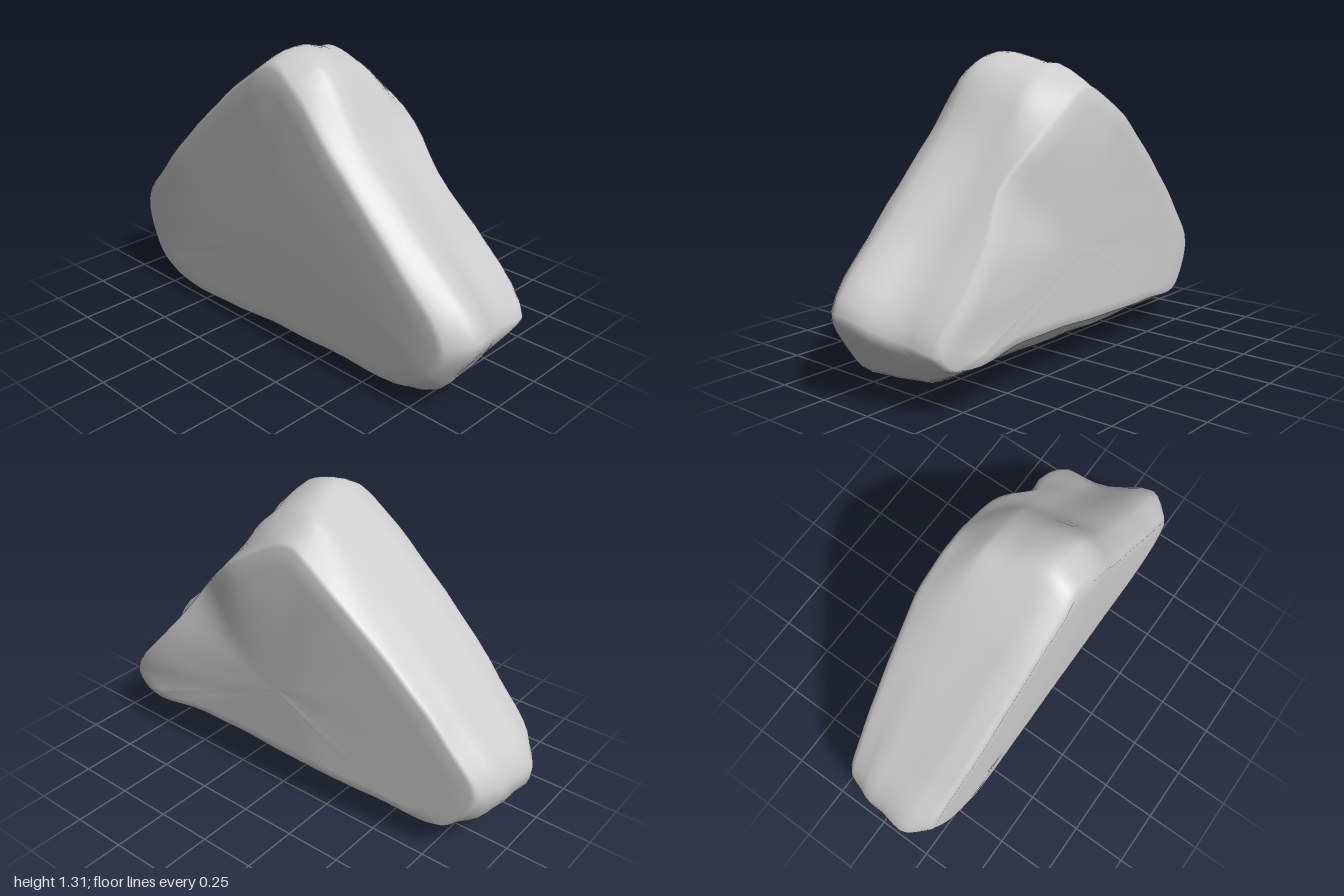
import * as THREE from 'three';

// Cross-sections as [z, y], from the back tip under the base to the front and over the peak
const outerRight = [[-.93, .37], [-.88, .21], [-.78, .11], [-.5, .055], [0, .08], [.45, .09], [.74, .1], [.86, .19],
  [.93, .34], [.68, .65], [.37, .97], [.16, 1.2], [.03, 1.26], [-.1, 1.19], [-.38, .97], [-.76, .6]];
const innerRight = [[-1, .34], [-.95, .19], [-.8, .06], [-.5, 0], [0, .04], [.45, .065], [.8, .07], [.92, .19],
  [1, .36], [.71, .68], [.4, 1], [.22, 1.25], [.05, 1.312], [-.07, 1.25], [-.37, 1], [-.77, .61]];
const innerLeft = [[-.98, .34], [-.94, .2], [-.8, .1], [-.5, .07], [0, .075], [.45, .08], [.77, .085], [.88, .17],
  [.92, .28], [.67, .6], [.39, .94], [.18, 1.2], [.02, 1.26], [-.08, 1.24], [-.37, 1], [-.77, .61]];
const outerLeft = [[-.93, .35], [-.89, .22], [-.79, .14], [-.5, .15], [0, .18], [.45, .2], [.77, .18], [.87, .2],
  [.91, .26], [.65, .58], [.38, .92], [.08, 1.13], [-.04, 1.17], [-.13, 1.14], [-.39, .95], [-.77, .58]];
const sections = [outerRight, innerRight, innerLeft, outerLeft];
const stations = [-.95, -.55, .38, .93];

// Piecewise-linear lookup in [input, output] pairs
function lookup(table, v) {
  if (v <= table[0][0]) return table[0][1];
  for (let i = 1; i < table.length; i++) {
    const [a, p] = table[i - 1], [b, q] = table[i];
    if (v <= b) return p + (q - p) * (v - a) / (b - a);
  }
  return table[table.length - 1][1];
}

// Half thickness of each side along the length and the height
const leftByZ = [[-1, .18], [-.9, .2], [-.6, .23], [-.2, .27], [.2, .28], [.45, .29], [.7, .315], [.95, .28]];
const leftByY = [[.1, .28], [.18, .31], [.28, .32], [.45, .3], [.65, .28], [.9, .285], [1.15, .25], [1.3, .2]];
const rightByZ = [[-1, .25], [-.6, .29], [.1, .315], [.6, .3], [1, .285]];
const rightByY = [[.08, .285], [.45, .3], [.9, .316], [1.2, .31], [1.3, .285]];
function sideX(u, z, y) {
  const [byZ, byY] = u > 0 ? [leftByZ, leftByY] : [rightByZ, rightByY];
  // Worn hollow along the upper front left edge
  const hollow = u > 0 ? .065 * Math.exp(-((z - .48) ** 2 + (y - .82) ** 2) / .035) : 0;
  return u * (Math.min(lookup(byZ, z), lookup(byY, y)) - hollow);
}

function rockGeometry() {
  const around = 80, rings = [];
  const curves = sections.map(s => new THREE.CatmullRomCurve3(
    s.map(([z, y]) => new THREE.Vector3(0, y, z)), true));
  const centre = new THREE.Vector3(0, .5, 0);

  // One ring at u across the thickness, shrunk towards the centre for the side faces
  function addRing(u, scale = 1) {
    let k = 0;
    while (k < 2 && u > stations[k + 1]) k++;
    let t = THREE.MathUtils.clamp((u - stations[k]) / (stations[k + 1] - stations[k]), 0, 1);
    if (k === 0) t = Math.sin(t * Math.PI / 2);
    if (k === 1) t = t * t * (3 - 2 * t);
    if (k === 2) t = t ** 1.25;
    const ring = [];
    for (let j = 0; j < around; j++) {
      const p = curves[k].getPoint(j / around).lerp(curves[k + 1].getPoint(j / around), t);
      // Gentle weathering of the rim
      const bump = 1 + .007 * Math.sin(p.z * 17 + u * 5) * Math.sin(p.y * 13 - u * 4);
      p.sub(centre).multiplyScalar(scale * bump).add(centre);
      p.x = sideX(u, p.z, p.y);
      ring.push(p);
    }
    rings.push(ring);
  }
  for (const s of [.01, .3, .6, .85, .97]) addRing(-1, s);
  for (const u of [-.95, -.88, -.78, -.66, -.55, -.35, -.1, .15, .38, .52, .66, .78, .87, .94]) addRing(u);
  for (const s of [.98, .86, .6, .3, .01]) addRing(1, s);

  const positions = rings.flat().flatMap(p => [p.x, Math.max(0, p.y), p.z]);
  const index = [];
  for (let i = 0; i < rings.length - 1; i++) {
    for (let j = 0; j < around; j++) {
      const a = i * around + j, b = i * around + (j + 1) % around;
      index.push(a, a + around, b, b, a + around, b + around);
    }
  }
  // Close the small middle of each side face
  const last = (rings.length - 1) * around;
  for (let j = 1; j < around - 1; j++) index.push(0, j, j + 1, last, last + j + 1, last + j);

  const geometry = new THREE.BufferGeometry();
  geometry.setAttribute('position', new THREE.Float32BufferAttribute(positions, 3));
  geometry.setIndex(index);
  geometry.computeVertexNormals();
  return geometry;
}

export function createModel() {
  const model = new THREE.Group();
  model.name = 'rock';
  const stone = new THREE.Mesh(rockGeometry(), new THREE.MeshStandardMaterial({ color: 0xcccccc }));
  stone.name = 'stone';
  model.add(stone);
  return model;
}
